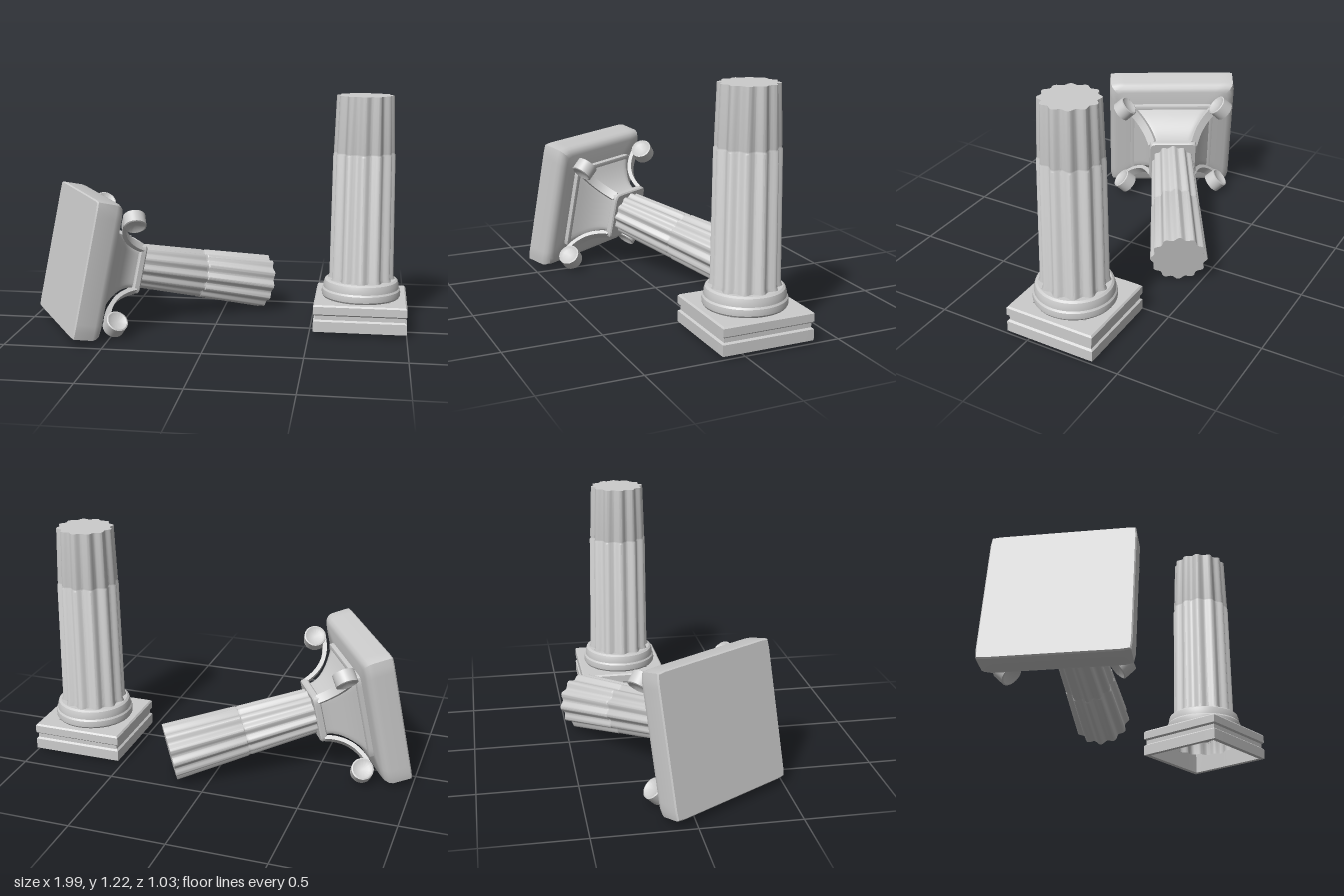
import * as THREE from 'three';
import { toCreasedNormals } from 'three/addons/utils/BufferGeometryUtils.js';

const stone = new THREE.MeshStandardMaterial({ color: 0xcccccc, side: THREE.DoubleSide });

function part(name, geometry, parent, crease = 0.6) {
  const mesh = new THREE.Mesh(toCreasedNormals(geometry, crease), stone);
  mesh.name = name;
  parent.add(mesh);
  return mesh;
}

// Skin over rings [y, size, p]; outline(theta, p) gives the unit radius
function loft(rings, outline, n) {
  const pos = [], index = [];
  rings.forEach(([y, size, p], i) => {
    for (let j = 0; j < n; j++) {
      const a = (j / n) * Math.PI * 2;
      const r = size * outline(a, p);
      pos.push(r * Math.cos(a), y, r * Math.sin(a));
      if (i === rings.length - 1) continue;
      const k = (j + 1) % n, lo = i * n, hi = lo + n;
      index.push(lo + j, hi + j, lo + k, lo + k, hi + j, hi + k);
    }
  });
  const g = new THREE.BufferGeometry();
  g.setAttribute('position', new THREE.Float32BufferAttribute(pos, 3));
  g.setIndex(index);
  return g.toNonIndexed();
}

// Twelve rounded lobes, and a square whose corners sharpen with p
const flutes = (a) => 0.94 + 0.06 * Math.cos(12 * a);
const square = (a, p = 200) =>
  Math.pow(Math.pow(Math.abs(Math.cos(a)), p) + Math.pow(Math.abs(Math.sin(a)), p), -1 / p);

function standingColumn() {
  const g = new THREE.Group();
  g.name = 'standingColumn';

  // Hollow square plinth with a groove round it
  part('plinth', loft([
    [0.15, 0.15], [0.15, 0.215], [0.015, 0.215], [0.015, 0.24], [0.07, 0.24], [0.078, 0.23],
    [0.1, 0.23], [0.108, 0.24], [0.148, 0.24], [0.156, 0.232], [0.156, 0.15],
  ], square, 64), g, 0.5);

  // Round stepped moulding
  const profile = [[0.16, 0.156], [0.2, 0.156], [0.206, 0.165], [0.207, 0.18], [0.205, 0.196],
    [0.198, 0.205], [0.197, 0.225], [0.191, 0.244], [0.18, 0.252], [0.15, 0.252]];
  part('baseRing', new THREE.LatheGeometry(profile.map(([x, y]) => new THREE.Vector2(x, y)), 64), g, 0.5);

  // Fluted shaft, open below, with a joint
  part('shaft', loft([
    [0.08, 0.172], [0.25, 0.176], [0.27, 0.168], [0.91, 0.16], [0.917, 0.156],
    [0.924, 0.156], [0.931, 0.157], [1.215, 0.147], [1.215, 0],
  ], flutes, 144), g);
  return g;
}

// One scroll: a curved band from the neck ending in a dished roll
function scroll() {
  const g = new THREE.Group();
  g.name = 'scroll';
  const s = new THREE.Shape();
  s.moveTo(0.15, 0.365);
  s.lineTo(0.172, 0.365);
  s.quadraticCurveTo(0.22, 0.215, 0.38, 0.2);
  s.lineTo(0.38, 0.178);
  s.quadraticCurveTo(0.2, 0.195, 0.15, 0.365);
  const band = new THREE.ExtrudeGeometry(s, { depth: 0.046, bevelEnabled: false, curveSegments: 16 });
  band.translate(0, 0, -0.023);
  part('scrollBand', band, g);

  const rim = [[0, -0.022], [0.035, -0.026], [0.05, -0.035], [0.057, -0.032],
    [0.057, 0.032], [0.05, 0.035], [0.035, 0.026], [0, 0.022]];
  const roll = new THREE.LatheGeometry(rim.map(([x, y]) => new THREE.Vector2(x, y)), 32);
  roll.rotateX(Math.PI / 2);
  roll.translate(0.38, 0.235, 0);
  part('scrollRoll', roll, g);
  return g;
}

// Built upside down along +y: slab at the bottom, broken shaft end on top
function fallenColumn() {
  const g = new THREE.Group();
  g.name = 'fallenColumn';

  part('capitalSlab', loft([
    [0, 0], [0, 0.347, 60], [0.007, 0.353, 50], [0.105, 0.353, 36], [0.125, 0.348, 28],
    [0.141, 0.336, 24], [0.15, 0.315, 24], [0.15, 0],
  ], square, 96), g);

  // Concave bell on a square step
  const bell = [[0.15, 0.235, 30], [0.172, 0.235, 30], [0.176, 0.225, 30]];
  for (let i = 0; i <= 10; i++) {
    const t = i / 10;
    bell.push([0.176 + 0.174 * t, 0.108 + 0.107 * Math.pow(1 - t, 2), 24 - 12 * t]);
  }
  part('capitalBell', loft(bell, square, 96), g);

  part('neckLip', loft([
    [0.348, 0.1, 12], [0.348, 0.125, 12], [0.354, 0.132, 12], [0.378, 0.132, 12],
    [0.385, 0.126, 12], [0.385, 0, 12],
  ], square, 96), g);

  for (let i = 0; i < 4; i++) {
    const s = scroll();
    s.rotation.y = Math.PI / 4 + (i * Math.PI) / 2;
    g.add(s);
  }

  part('shaft', loft([
    [0.38, 0.119], [0.745, 0.131], [0.75, 0.129], [0.757, 0.129], [0.762, 0.133],
    [1.15, 0.148], [1.15, 0],
  ], flutes, 144), g);

  // Lay it down: the axis points right, back and slightly down
  const yaw = 0.533, pitch = 0.209;
  const side = new THREE.Vector3(Math.sin(yaw), 0, Math.cos(yaw));
  const axis = new THREE.Vector3(
    Math.cos(pitch) * Math.cos(yaw), -Math.sin(pitch), -Math.cos(pitch) * Math.sin(yaw));
  const up = side.clone().cross(axis);
  g.quaternion.setFromRotationMatrix(new THREE.Matrix4().makeBasis(side, axis, up));
  g.position.set(-0.759, 0.382, 0.168);
  return g;
}

export function createModel() {
  const model = new THREE.Group();
  model.name = 'ruinedColumns';
  const standing = standingColumn();
  standing.position.set(0.76, 0, -0.125);
  model.add(standing, fallenColumn());
  return model;
}
